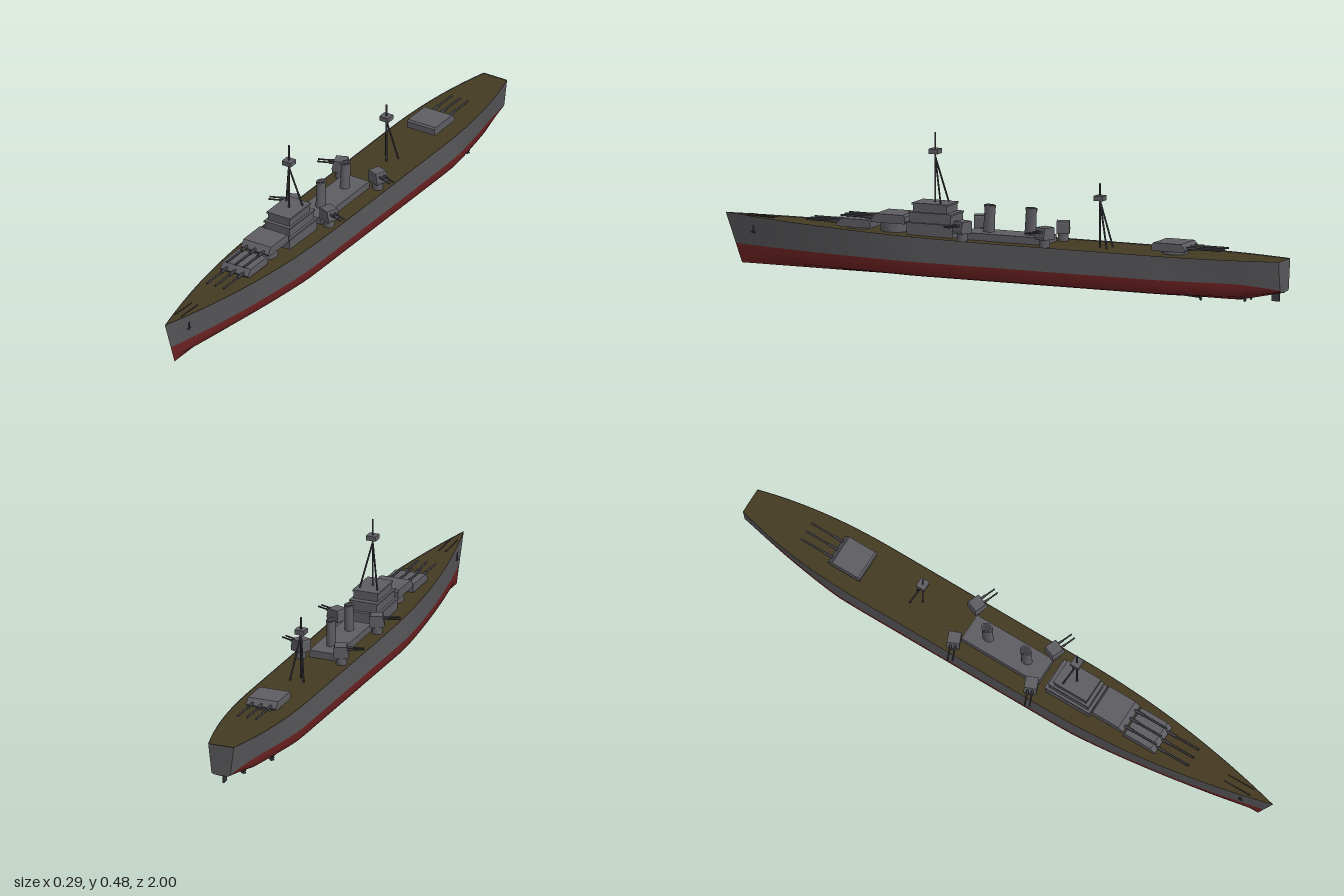
import * as THREE from 'three';
import { toCreasedNormals } from 'three/addons/utils/BufferGeometryUtils.js';

const mat = (name, color, side = THREE.FrontSide) => {
  const m = new THREE.MeshStandardMaterial({ color, side });
  m.name = name;
  return m;
};

export function createModel() {
  const ship = new THREE.Group();
  ship.name = 'warship';
  const hullGrey = mat('hull grey', 0x57575a, THREE.DoubleSide);
  const red = mat('antifouling red', 0x6e2222, THREE.DoubleSide);
  const wood = mat('deck brown', 0x443a22, THREE.DoubleSide);
  const grey = mat('superstructure grey', 0x5c5c62);
  const dark = mat('gun and mast grey', 0x3c3c42);

  const add = (parent, name, geo, material, x = 0, y = 0, z = 0) => {
    const m = new THREE.Mesh(geo, material);
    m.name = name;
    m.position.set(x, y, z);
    parent.add(m);
    return m;
  };
  const box = (parent, name, w, y0, y1, z0, z1, material = grey, x = 0) =>
    add(parent, name, new THREE.BoxGeometry(w, y1 - y0, z1 - z0), material, x, (y0 + y1) / 2, (z0 + z1) / 2);
  const rod = (parent, name, a, b, r, material = dark) => {
    const p = new THREE.Vector3(...a), q = new THREE.Vector3(...b);
    const m = add(parent, name, new THREE.CylinderGeometry(r, r, p.distanceTo(q), 8), material);
    m.position.copy(p).add(q).multiplyScalar(0.5);
    m.quaternion.setFromUnitVectors(new THREE.Vector3(0, 1, 0), q.sub(p).normalize());
    return m;
  };

  // Hull lines as functions of the station s (-1 stern, 1 bow)
  const over = (s, from, to) => Math.max(0, (s - from) / (to - from));
  const beam = s => 0.105 * (1 - over(s, 0.2, 1) ** 2) - 0.06 * over(s, -0.5, -1) ** 2.3;
  const sheer = s => 0.145 + 0.021 * over(s, 0, 1) ** 1.5;
  const fine = s => Math.max(over(s, 0.3, 1), over(s, -0.6, -1));
  const wlBeam = s => beam(s) * (1 - 0.25 * fine(s));
  const wlHeight = s => 0.066 - 0.018 * over(s, -0.8, -1) ** 2;
  const keel = s => 0.004 + 0.034 * over(s, -0.84, -1);
  const point = (s, x, y) => [x, y, s - 0.06 * over(s, 0.6, 1) ** 2 * (1 - y / 0.166)];
  const half = [[1, 1], [0.985, 0.66], [0.93, 0.4], [0.82, 0.25], [0.6, 0.15], [0.3, 0.06]];

  const bottomSection = s => {
    const pts = half.map(([fx, fy]) => [
      wlBeam(s) * fx ** (1 + 1.5 * fine(s)), keel(s) + (wlHeight(s) - keel(s)) * fy]);
    return [...pts, [0, keel(s)], ...pts.map(([x, y]) => [-x, y]).reverse()];
  };
  const sideSection = k => s => {
    const rows = [];
    for (let i = 0; i <= 4; i++) {
      const t = i / 4;
      rows.push([k * (wlBeam(s) + (beam(s) - wlBeam(s)) * t), wlHeight(s) + (sheer(s) - wlHeight(s)) * t]);
    }
    return k > 0 ? rows.reverse() : rows;
  };
  const deckSection = s => [-1, 0, 1].map(k => [k * (beam(s) - 0.0005), sheer(s) - 0.003]);

  // Skin a cross-section along the length of the ship
  const skin = section => {
    const pos = [], index = [], N = 64;
    let n = 0;
    for (let i = 0; i <= N; i++) {
      const s = -1 + 2 * i / N, row = section(s);
      n = row.length;
      row.forEach(([x, y]) => pos.push(...point(s, x, y)));
    }
    for (let i = 0; i < N; i++) for (let j = 0; j < n - 1; j++) {
      const a = i * n + j, b = a + n;
      index.push(a, b, a + 1, b, b + 1, a + 1);
    }
    const g = new THREE.BufferGeometry();
    g.setAttribute('position', new THREE.Float32BufferAttribute(pos, 3));
    g.setIndex(index);
    return toCreasedNormals(g, 0.6);
  };
  add(ship, 'leftHullSide', skin(sideSection(1)), hullGrey);
  add(ship, 'rightHullSide', skin(sideSection(-1)), hullGrey);
  add(ship, 'hullBottom', skin(bottomSection), red);
  add(ship, 'deck', skin(deckSection), wood);

  // Flat transom closing the stern
  const outline = [...sideSection(1)(-1), ...bottomSection(-1).slice(1, -1), ...sideSection(-1)(-1)];
  const transom = new THREE.Shape(outline.map(([x, y]) => new THREE.Vector2(x, y)));
  add(ship, 'transom', new THREE.ShapeGeometry(transom), hullGrey, 0, 0, -1);

  // Gun house: side profile extruded across its width, on a round barbette
  const turret = (name, { w, l, h, guns, gap, reach, r, base, gunY }) => {
    const g = new THREE.Group();
    g.name = name;
    const f = l / 2;
    const profile = new THREE.Shape([[-f, 0], [f * 0.9, 0], [f, h * 0.3], [f * 0.72, h], [-f * 0.9, h], [-f, h * 0.8]]
      .map(p => new THREE.Vector2(...p)));
    const body = new THREE.ExtrudeGeometry(profile, { depth: w, bevelEnabled: false });
    body.translate(0, 0, -w / 2).rotateY(-Math.PI / 2);
    add(g, 'gunHouse', body, grey);
    add(g, 'barbette', new THREE.CylinderGeometry(w * 0.42, w * 0.42, base, 24), grey, 0, -base / 2, 0);
    for (let i = 0; i < guns; i++) {
      const x = (i - (guns - 1) / 2) * gap;
      rod(g, 'barrel', [x, gunY, 0], [x, gunY, f + reach], r);
      rod(g, 'barrelSleeve', [x, gunY, 0], [x, gunY, f + reach * 0.25], r * 1.5);
    }
    ship.add(g);
    return g;
  };
  const main = { w: 0.106, l: 0.122, h: 0.027, guns: 3, gap: 0.032, reach: 0.115, r: 0.0033, base: 0.02, gunY: 0.012 };
  turret('forwardTurret', main).position.set(0, 0.156, 0.52);
  turret('raisedTurret', { ...main, base: 0.045, h: 0.029 }).position.set(0, 0.178, 0.397);
  const aft = turret('aftTurret', main);
  aft.position.set(0, 0.153, -0.61);
  aft.rotation.y = Math.PI;

  // Twin secondary mounts along both sides, trained outboard and a little forward
  for (const k of [1, -1]) for (const z of [0.12, -0.175]) {
    const t = turret('secondaryTurret',
      { w: 0.042, l: 0.05, h: 0.04, guns: 2, gap: 0.016, reach: 0.05, r: 0.0028, base: 0.025, gunY: 0.027 });
    t.position.set(k * 0.072, 0.167, z);
    t.rotation.y = k * 1.2;
  }

  // Bridge tiers, each with a thin overhanging roof
  [[0.112, 0.14, 0.185, 0.16, 0.332], [0.1, 0.185, 0.219, 0.17, 0.324], [0.09, 0.219, 0.249, 0.187, 0.314]]
    .forEach(([w, y0, y1, z0, z1]) => {
      box(ship, 'bridgeTier', w - 0.006, y0, y1, z0 + 0.003, z1 - 0.003);
      box(ship, 'bridgeRoof', w, y1 - 0.005, y1 + 0.001, z0, z1);
    });

  // Midships deckhouse and funnels
  box(ship, 'deckhouse', 0.096, 0.14, 0.166, -0.162, 0.13);
  for (const z of [0.058, -0.09]) {
    const funnel = new THREE.Group();
    funnel.name = 'funnel';
    funnel.position.set(0, 0.162, z);
    funnel.rotation.x = -0.05;
    add(funnel, 'funnelStack', new THREE.CylinderGeometry(0.014, 0.015, 0.092, 20), grey, 0, 0.046, 0);
    add(funnel, 'funnelCap', new THREE.CylinderGeometry(0.0155, 0.0155, 0.008, 20), grey, 0, 0.088, 0);
    add(funnel, 'funnelMouth', new THREE.CylinderGeometry(0.012, 0.012, 0.002, 20), dark, 0, 0.0925, 0);
    funnel.scale.z = 1.3;
    ship.add(funnel);
  }

  // Tripod masts with lookout platforms
  const mast = (name, z, foot, top, apex, nest, spreadX, spreadZ) => {
    const g = new THREE.Group();
    g.name = name;
    rod(g, 'mastPole', [0, foot, z], [0, top, z], 0.0032);
    for (const k of [1, -1]) rod(g, 'mastLeg', [0, apex, z], [k * spreadX, foot, z - spreadZ], 0.003);
    box(g, 'lookout', 0.034, nest, nest + 0.016, z - 0.016, z + 0.016, grey);
    ship.add(g);
  };
  mast('foremast', 0.25, 0.245, 0.48, 0.4, 0.41, 0.032, 0.035);
  mast('mainmast', -0.34, 0.142, 0.352, 0.295, 0.296, 0.024, 0.035);

  // Anchors and anchor chains at the bow
  for (const k of [1, -1]) {
    const x = k * (beam(0.9) * 0.9 + 0.002);
    rod(ship, 'anchorShank', [x, 0.108, 0.89], [x, 0.134, 0.89], 0.0022);
    rod(ship, 'anchorFlukes', [x, 0.11, 0.883], [x, 0.11, 0.897], 0.0022);
    rod(ship, 'anchorChain', [k * 0.012, 0.161, 0.82], [k * 0.012, 0.165, 0.92], 0.0015);
  }

  // Rudder, shafts and propellers
  box(ship, 'rudder', 0.006, 0.008, 0.045, -0.982, -0.956, dark);
  for (const k of [1, -1]) for (const [x, y, z] of [[0.024, 0.012, -0.87], [0.063, 0.013, -0.73]]) {
    rod(ship, 'shaft', [k * x, y, z], [k * x, y + 0.006, z + 0.1], 0.002);
    add(ship, 'propellerHub', new THREE.SphereGeometry(0.003, 10, 8), dark, k * x, y, z);
    for (let i = 0; i < 3; i++) {
      const blade = add(ship, 'propellerBlade', new THREE.BoxGeometry(0.005, 0.02, 0.002), dark, k * x, y, z);
      blade.rotation.z = i * Math.PI / 3;
    }
  }
  return ship;
}
